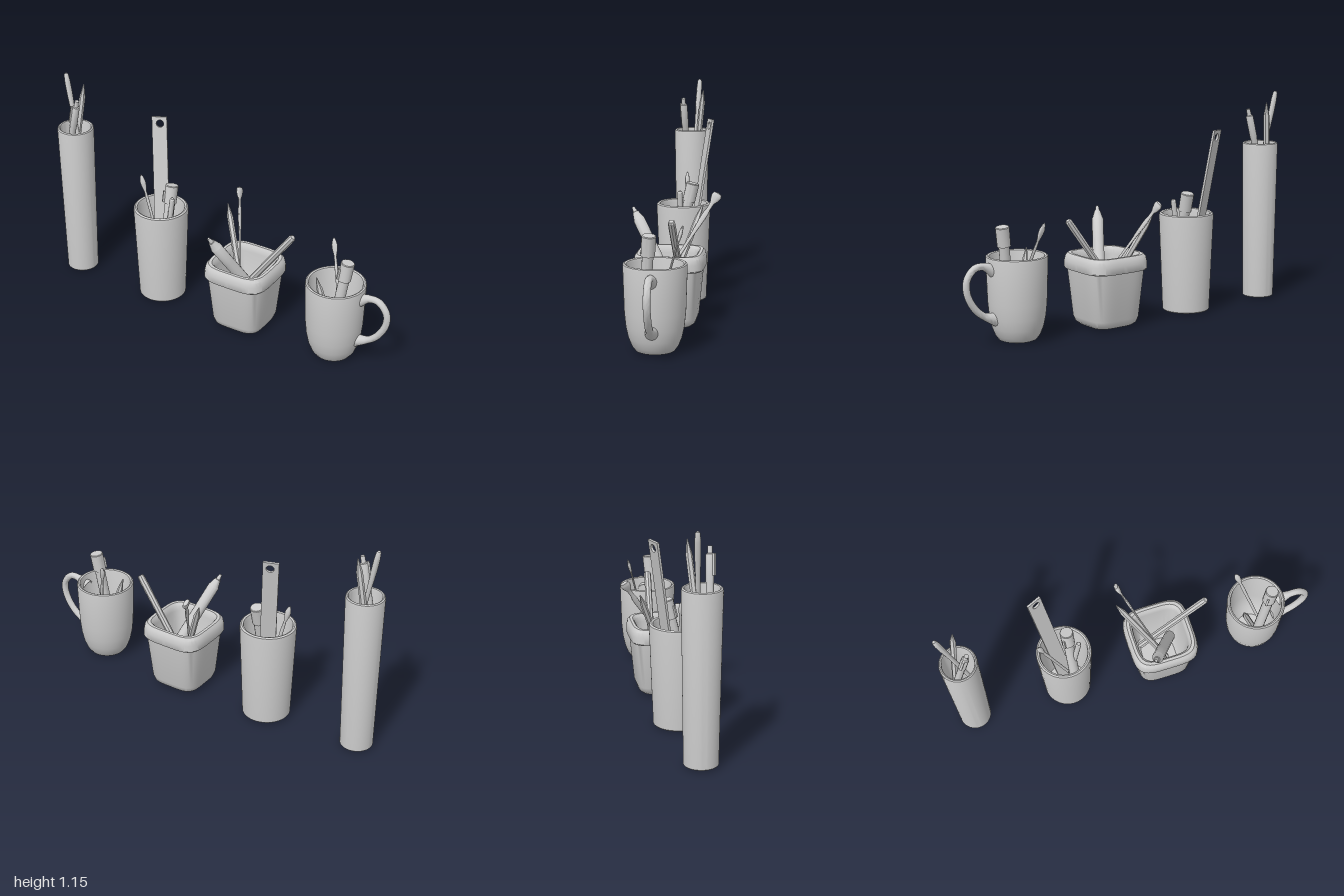
import * as THREE from 'three';
import { toCreasedNormals } from 'three/addons/utils/BufferGeometryUtils.js';

const UP = new THREE.Vector3(0, 1, 0);
const material = new THREE.MeshStandardMaterial({ color: 0xcccccc, side: THREE.DoubleSide });

function addMesh(parent, name, geometry, crease = 0.6) {
  const mesh = new THREE.Mesh(crease ? toCreasedNormals(geometry, crease) : geometry, material);
  mesh.name = name;
  parent.add(mesh);
  return mesh;
}

const lathe = (points, sides) =>
  new THREE.LatheGeometry(points.map(([r, y]) => new THREE.Vector2(r, y)), sides);

// Closed vessel: outer wall from the base up, over the rim, down the inside
function vessel(parent, name, x, z, points, sides = 56, squareness = 0) {
  const geometry = lathe(points, sides);
  if (squareness) {
    // Push round cross-sections out to a rounded square
    const p = geometry.attributes.position;
    for (let i = 0; i < p.count; i++) {
      const a = Math.atan2(p.getZ(i), p.getX(i));
      const k = (Math.abs(Math.cos(a)) ** squareness + Math.abs(Math.sin(a)) ** squareness) ** (-1 / squareness);
      p.setX(i, p.getX(i) * k);
      p.setZ(i, p.getZ(i) * k);
    }
  }
  const mesh = addMesh(parent, name, geometry);
  mesh.position.set(x, 0, z);
  return mesh;
}

// Turned tool; profile is [radius, distance below the tip], leaning from tip through a second point
function tool(parent, name, tip, through, endY, profile, { sides = 14, flatX = 1, flatZ = 1, clip = 0 } = {}) {
  const top = new THREE.Vector3(...tip);
  const dir = top.clone().sub(new THREE.Vector3(...through)).normalize();
  const length = (tip[1] - endY) / dir.y;
  const lastRadius = profile[profile.length - 1][0];
  const points = [...profile, [lastRadius, length], [0, length]].map(([r, d]) => [r, -d]).reverse();
  const group = new THREE.Group();
  group.name = name;
  const body = addMesh(group, name + 'Body', lathe(points, sides), sides > 8 ? 0.6 : 0.3);
  body.scale.set(flatX, 1, flatZ);
  if (clip) {
    const r = Math.max(...profile.map(([radius]) => radius));
    const part = addMesh(group, name + 'Clip', new THREE.BoxGeometry(0.012, clip, 0.014), 0);
    part.position.set(-r * 0.7, -clip / 2 - 0.035, r * 0.75);
    part.rotation.y = -0.75;
  }
  group.position.copy(top);
  group.quaternion.setFromUnitVectors(UP, dir);
  parent.add(group);
}

const PENCIL = [[0, 0], [0.003, 0.003], [0.016, 0.075]];
const ROUND_PEN = [[0, 0], [0.008, 0.003], [0.012, 0.012], [0.015, 0.05], [0.015, 0.12], [0.011, 0.24]];
const CLICK_PEN = [[0, 0], [0.011, 0], [0.012, 0.035], [0.018, 0.038], [0.02, 0.045], [0.02, 0.16], [0.018, 0.17]];
const MARKER = [[0, 0], [0.032, 0], [0.035, 0.004], [0.034, 0.1], [0.027, 0.101]];
const LEAF = [[0, 0], [0.009, 0.012], [0.016, 0.04], [0.015, 0.06], [0.007, 0.1], [0.009, 0.15], [0.008, 0.25]];
const FAN_BRUSH = [[0, 0], [0.022, 0.006], [0.027, 0.022], [0.021, 0.045], [0.011, 0.065],
  [0.01, 0.1], [0.014, 0.12], [0.015, 0.15], [0.008, 0.27]];
const STUB_PEN = [[0, 0], [0.012, 0], [0.018, 0.008], [0.019, 0.05], [0.018, 0.2]];
const CRAYON = [[0, 0], [0.007, 0.002], [0.012, 0.03], [0.016, 0.032], [0.027, 0.07], [0.03, 0.075], [0.03, 0.2]];

// Flat ruler with a hanging hole near its top end
function ruler(parent, top, low, length) {
  const shape = new THREE.Shape();
  shape.moveTo(-0.04, 0).lineTo(-0.04, -length).lineTo(0.04, -length).lineTo(0.04, 0).closePath();
  const hole = new THREE.Path();
  hole.absarc(0.003, -0.037, 0.02, 0, Math.PI * 2, true);
  shape.holes.push(hole);
  const geometry = new THREE.ExtrudeGeometry(shape, { depth: 0.012, bevelEnabled: false, curveSegments: 10 });
  geometry.translate(0, 0, -0.006);
  const mesh = addMesh(parent, 'ruler', geometry, 0);
  const y = top.clone().sub(low).normalize();
  const z = new THREE.Vector3(0.92, 0, -0.39).cross(y).normalize();
  const x = y.clone().cross(z);
  mesh.quaternion.setFromRotationMatrix(new THREE.Matrix4().makeBasis(x, y, z));
  mesh.position.copy(top);
}

// Mug handle: a tube that flares where it meets the wall
function mugHandle(parent) {
  const curve = new THREE.CatmullRomCurve3([
    [0.815, 0.365], [0.87, 0.395], [0.925, 0.395], [0.97, 0.345], [0.973, 0.28],
    [0.94, 0.208], [0.889, 0.157], [0.81, 0.125],
  ].map(([x, y]) => new THREE.Vector3(x, y, 0.023)));
  const steps = 48, around = 14;
  const geometry = new THREE.TubeGeometry(curve, steps, 0.018, around);
  const p = geometry.attributes.position;
  const v = new THREE.Vector3();
  for (let i = 0; i <= steps; i++) {
    const u = i / steps;
    const centre = curve.getPointAt(u);
    const flare = 1 + 0.9 * Math.max(0, Math.abs(u - 0.5) * 2 - 0.7) / 0.3;
    for (let j = 0; j <= around; j++) {
      const k = i * (around + 1) + j;
      v.fromBufferAttribute(p, k).sub(centre).multiplyScalar(flare).add(centre);
      p.setXYZ(k, v.x, v.y, v.z);
    }
  }
  addMesh(parent, 'mugHandle', geometry, 1.2);
}

export function createModel() {
  const model = new THREE.Group();
  model.name = 'deskHolders';
  const section = (name) => {
    const group = new THREE.Group();
    group.name = name;
    model.add(group);
    return group;
  };

  // Tall narrow holder
  const tall = section('tallHolder');
  vessel(tall, 'tallCup', -0.902, 0.024, [[0, 0.008], [0.08, 0.008], [0.084, 0.012], [0.097, 0.855],
    [0.095, 0.865], [0.089, 0.87], [0.083, 0.867], [0.08, 0.855], [0.07, 0.03], [0, 0.03]]);
  tool(tall, 'roundPen', [-0.977, 1.15, -0.014], [-0.92, 0.87, 0], 0.5, ROUND_PEN);
  tool(tall, 'tallPencil', [-0.884, 1.095, -0.044], [-0.91, 0.87, -0.02], 0.4, PENCIL, { sides: 6 });
  tool(tall, 'clickPen', [-0.85, 1.05, 0.067], [-0.893, 0.87, 0.06], 0.62, CLICK_PEN, { clip: 0.1 });

  // Tapered tumbler with ruler
  const tumbler = section('tumblerHolder');
  vessel(tumbler, 'tumbler', -0.371, 0.01, [[0, 0.008], [0.12, 0.008], [0.125, 0.013], [0.145, 0.515],
    [0.143, 0.531], [0.135, 0.537], [0.126, 0.533], [0.122, 0.515], [0.107, 0.03], [0, 0.03]]);
  ruler(tumbler, new THREE.Vector3(-0.463, 0.98, -0.128), new THREE.Vector3(-0.418, 0.54, -0.065), 0.93);
  tool(tumbler, 'tumblerMarker', [-0.335, 0.648, -0.045], [-0.335, 0.54, -0.02], 0.05, MARKER, { clip: 0.06 });
  tool(tumbler, 'tumblerPen', [-0.29, 0.61, 0.02], [-0.3, 0.54, 0.02], 0.05, STUB_PEN, { flatX: 0.75, flatZ: 0.75 });
  tool(tumbler, 'tumblerBrush', [-0.5, 0.685, 0.003], [-0.46, 0.54, 0.003], 0.15, LEAF, { flatZ: 0.8 });

  // Rounded square pot with a thick rolled rim
  const pot = section('squareHolder');
  vessel(pot, 'squarePot', 0.156, 0.016, [[0, 0], [0.08, 0.001], [0.115, 0.008], [0.132, 0.022], [0.142, 0.05],
    [0.166, 0.3], [0.176, 0.3], [0.18, 0.307], [0.179, 0.34], [0.174, 0.366], [0.162, 0.38], [0.147, 0.38],
    [0.136, 0.366], [0.132, 0.34], [0.112, 0.06], [0.09, 0.03], [0, 0.03]], 72, 4.2);
  tool(pot, 'fanBrush', [-0.02, 0.652, -0.212], [0.065, 0.436, -0.078], 0.1, FAN_BRUSH, { flatX: 0.5 });
  tool(pot, 'potPencil', [-0.042, 0.587, -0.13], [0.05, 0.38, -0.055], 0.08, PENCIL, { sides: 6 });
  tool(pot, 'crayon', [0.06, 0.585, 0.222], [0.115, 0.436, 0.138], 0.12, CRAYON);
  tool(pot, 'stubPen', [0.412, 0.58, -0.02], [0.268, 0.38, -0.03], 0.1, STUB_PEN, { sides: 8 });

  // Mug with a side handle
  const mug = section('mugHolder');
  vessel(mug, 'mugBody', 0.687, 0.023, [[0, 0.008], [0.085, 0.008], [0.095, 0.012], [0.112, 0.035], [0.128, 0.075],
    [0.14, 0.13], [0.147, 0.2], [0.154, 0.42], [0.152, 0.43], [0.145, 0.434], [0.137, 0.43], [0.134, 0.42],
    [0.127, 0.2], [0.11, 0.09], [0.08, 0.035], [0, 0.03]]);
  mugHandle(mug);
  tool(mug, 'mugMarker', [0.757, 0.578, 0.042], [0.738, 0.433, 0.053], 0.06, MARKER, { clip: 0.06 });
  tool(mug, 'mugBrush', [0.602, 0.602, -0.1], [0.648, 0.433, -0.055], 0.08, LEAF, { flatZ: 0.6 });
  tool(mug, 'mugPencil', [0.6, 0.455, 0.07], [0.65, 0.25, 0.045], 0.07, PENCIL, { sides: 6 });
  return model;
}
